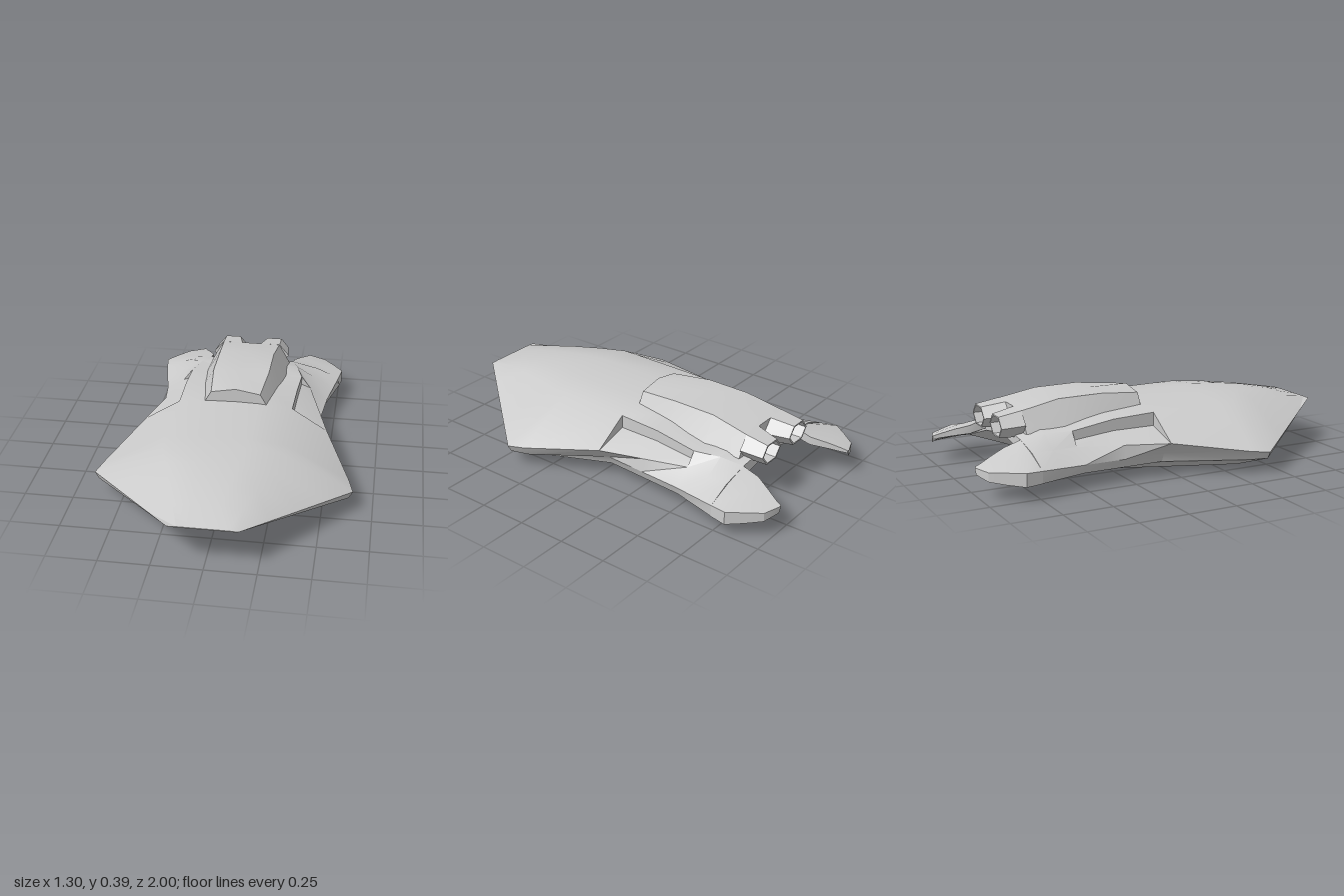
import * as THREE from 'three';
import { toCreasedNormals } from 'three/addons/utils/BufferGeometryUtils.js';

const material = new THREE.MeshStandardMaterial({ color: 0xcccccc, side: THREE.DoubleSide });
const { lerp } = THREE.MathUtils;

// Skins a row of rings running front to back; every ring is a list of [x, y, z],
// clockwise when seen from the front.
function loft(name, rings) {
  const pos = [];
  const tri = (a, b, c) => {
    const [A, B, C] = [a, b, c].map((p) => new THREE.Vector3(...p));
    if (B.sub(A).cross(C.sub(A)).length() > 1e-7) pos.push(...a, ...b, ...c);
  };
  const n = rings[0].length;
  for (let i = 0; i < rings.length - 1; i++) {
    const f = rings[i], b = rings[i + 1];
    for (let j = 0; j < n; j++) {
      const k = (j + 1) % n;
      tri(f[j], f[k], b[j]);
      tri(f[k], b[k], b[j]);
    }
  }
  const first = rings[0], last = rings[rings.length - 1];
  for (let j = 1; j < n - 1; j++) {
    tri(first[0], first[j + 1], first[j]);
    tri(last[0], last[j], last[j + 1]);
  }
  const geo = new THREE.BufferGeometry();
  geo.setAttribute('position', new THREE.Float32BufferAttribute(pos, 3));
  const mesh = new THREE.Mesh(toCreasedNormals(geo, 0.5), material);
  mesh.name = name;
  return mesh;
}

const ringAt = (z, pts) => pts.map(([x, y]) => [x, y, z]);
const mirrorRing = (ring) => ring.map(([x, y, z]) => [-x, y, z]).reverse();

// Half section from top centre to bottom centre, mirrored to a full ring
function fullRing(z, half) {
  const right = ringAt(z, half);
  return [...right, ...mirrorRing(right.slice(1, -1))];
}

// Hull ring from its corner lines; recess drops a floor point below the shoulder
function hullRing({ z, top, shoulder, edge, lower, chine, belly, keel }, recess = 0) {
  const [sx, sy] = shoulder;
  const crown = [sx * 0.4, lerp(top, sy, 0.15)];
  return fullRing(z, [[0, top], crown, shoulder, [sx, sy - recess], edge, lower, chine, belly, [0, keel]]);
}

// Section between two others, with its roof lifted into a gentle arch
function between(a, b, t) {
  const mix = (p, q) => p.map((v, i) => lerp(v, q[i], t));
  const arch = 0.08 * t * (1 - t);
  const s = { z: lerp(a.z, b.z, t), top: lerp(a.top, b.top, t) + arch, keel: lerp(a.keel, b.keel, t) };
  for (const line of ['shoulder', 'edge', 'lower', 'chine', 'belly']) s[line] = mix(a[line], b[line]);
  s.shoulder[1] += arch * 0.6;
  return s;
}

function hull() {
  const nose = { z: 1, top: 0.23, shoulder: [0.12, 0.23], edge: [0.165, 0.228], lower: [0.16, 0.226], chine: [0.13, 0.225], belly: [0.08, 0.225], keel: 0.225 };
  const wing = { z: 0.42, top: 0.317, shoulder: [0.3, 0.297], edge: [0.65, 0.112], lower: [0.63, 0.075], chine: [0.45, 0.05], belly: [0.28, 0.047], keel: 0.147 };
  const chest = { z: 0.33, top: 0.318, shoulder: [0.3, 0.298], edge: [0.625, 0.12], lower: [0.6, 0.072], chine: [0.49, 0.022], belly: [0.3, 0.022], keel: 0.135 };
  const waist = { z: -0.05, top: 0.312, shoulder: [0.3, 0.293], edge: [0.485, 0.175], lower: [0.41, 0.105], chine: [0.39, 0.06], belly: [0.27, 0], keel: 0.09 };
  const flank = { z: -0.5, top: 0.26, shoulder: [0.31, 0.252], edge: [0.36, 0.185], lower: [0.457, 0.12], chine: [0.44, 0.075], belly: [0.22, 0.037], keel: 0.1 };
  const tail = { z: -0.74, top: 0.235, shoulder: [0.24, 0.222], edge: [0.38, 0.19], lower: [0.505, 0.135], chine: [0.503, 0.075], belly: [0.24, 0.16], keel: 0.2 };
  const rump = { ...between(flank, tail, 0.54), belly: [0.2, 0.078], keel: 0.115 };
  return loft('hull', [
    hullRing(nose),
    ...[0.25, 0.5, 0.75].map((t) => hullRing(between(nose, wing, t))),
    hullRing(wing),
    hullRing(chest),
    hullRing(waist),
    // open side recess
    hullRing(waist, 0.068),
    hullRing(between(waist, flank, 0.5), 0.058),
    hullRing(flank, 0.047),
    hullRing(flank),
    hullRing(rump),
    hullRing(tail),
  ]);
}

// Raised canopy with an upright front face: z, ridge height, then roof corner and base
function canopy() {
  const sections = [
    [-0.05, 0.385, [0.13, 0.362], [0.165, 0.3]],
    [-0.27, 0.386, [0.15, 0.383], [0.205, 0.28]],
    [-0.5, 0.385, [0.15, 0.38], [0.225, 0.25]],
    [-0.7, 0.345, [0.16, 0.343], [0.22, 0.238]],
  ];
  return loft('canopy', sections.map(([z, y, corner, base]) => fullRing(z, [[0, y], corner, base, [0, 0.22]])));
}

// Six-sided nozzle with a hollow end
function nozzleRings() {
  const hex = (z, cx, cy, rx, ry) => Array.from({ length: 6 }, (_, i) => {
    const a = -i * Math.PI / 3;
    return [cx + rx * Math.cos(a), cy + ry * Math.sin(a), z];
  });
  return [
    hex(-0.7, 0.107, 0.28, 0.108, 0.074),
    hex(-0.82, 0.12, 0.273, 0.082, 0.06),
    hex(-0.82, 0.12, 0.273, 0.072, 0.052),
    hex(-0.76, 0.12, 0.273, 0.072, 0.052),
  ];
}

// Tail fin sections: z, inner and outer x, inner top height, outer top and bottom heights
function finRings() {
  const sections = [
    [-0.74, 0.24, 0.505, 0.222, 0.135, 0.075],
    [-0.825, 0.24, 0.52, 0.195, 0.14, 0.073],
    [-0.9, 0.275, 0.465, 0.175, 0.138, 0.08],
    [-0.97, 0.307, 0.41, 0.152, 0.135, 0.09],
    [-1, 0.315, 0.33, 0.143, 0.14, 0.107],
  ];
  return sections.map(([z, xi, xo, yi, yo, yb]) => {
    const ridge = [lerp(xi, xo, 0.5), lerp(yi, yo, 0.4)];
    return ringAt(z, [[xi, yi], ridge, [xo, yo], [xo, yb], [xi, lerp(yi, yb, 0.35)]]);
  });
}

export function createModel() {
  const model = new THREE.Group();
  model.name = 'spacecraft';
  model.add(hull(), canopy());
  for (const [side, flip] of [['left', (r) => r], ['right', mirrorRing]]) {
    model.add(loft(side + 'Nozzle', nozzleRings().map(flip)));
    model.add(loft(side + 'TailFin', finRings().map(flip)));
  }
  return model;
}
